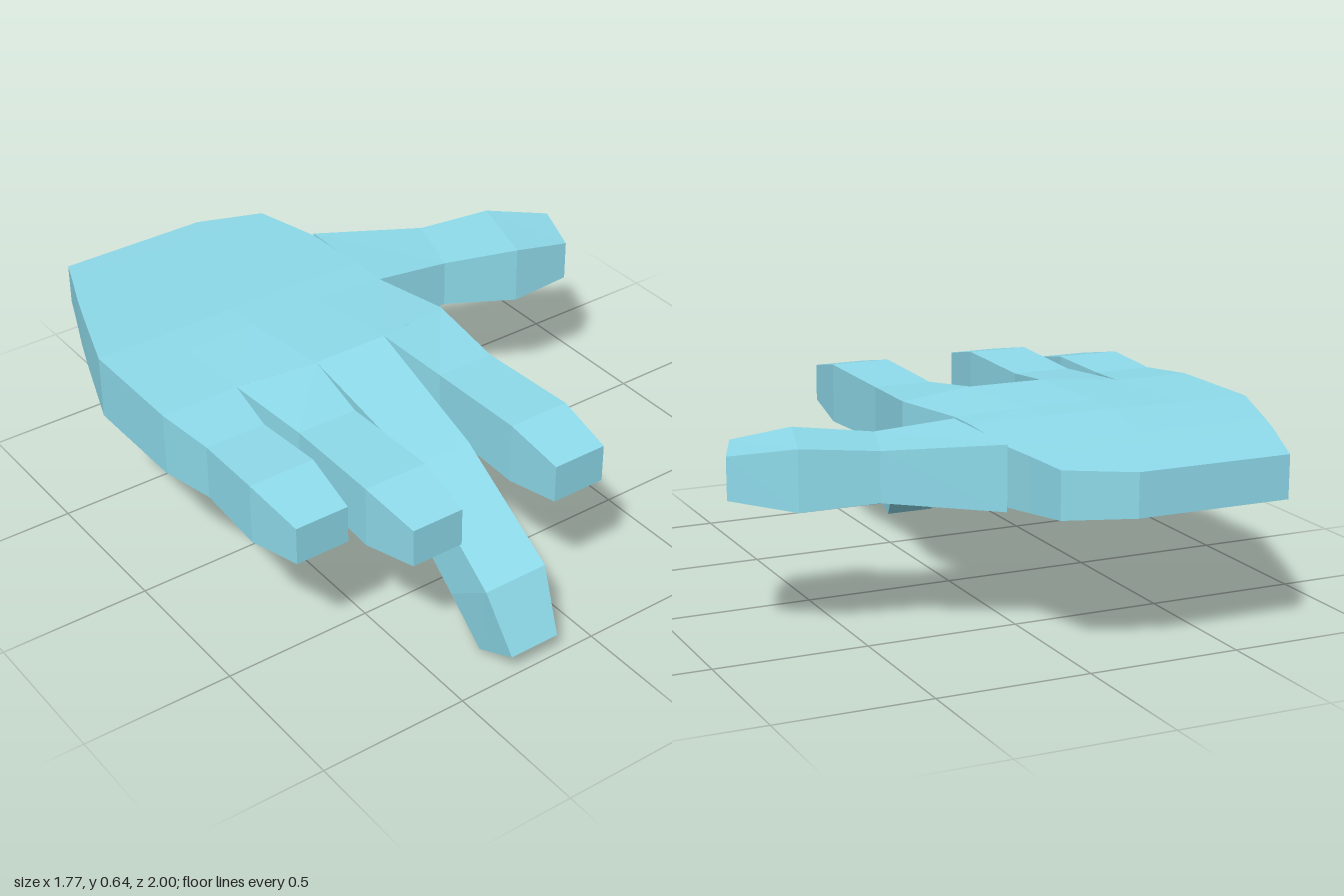
import * as THREE from 'three';

// Skin a list of equal-length rings (each counter-clockwise seen from the tip) and cap both ends.
function loft(rings) {
  const pos = [];
  const tri = (a, b, c) => pos.push(...a, ...b, ...c);
  const n = rings[0].length;
  for (let r = 0; r < rings.length - 1; r++) {
    const s = rings[r], t = rings[r + 1];
    for (let i = 0; i < n; i++) {
      const j = (i + 1) % n;
      tri(s[i], s[j], t[j]);
      tri(s[i], t[j], t[i]);
    }
  }
  const first = rings[0], last = rings[rings.length - 1];
  for (let i = 0; i < n / 2 - 1; i++) {
    const k = n - 1 - i;
    tri(last[i], last[i + 1], last[k - 1]);
    tri(last[i], last[k - 1], last[k]);
    tri(first[i], first[k - 1], first[i + 1]);
    tri(first[i], first[k], first[k - 1]);
  }
  const geo = new THREE.BufferGeometry();
  geo.setAttribute('position', new THREE.Float32BufferAttribute(pos, 3));
  geo.computeVertexNormals();
  return geo;
}

// Four-cornered ring from two plan points [x, z] and a bottom and top height.
const box = ([ax, az], [bx, bz], y0, y1) =>
  [[ax, y0, az], [bx, y0, bz], [bx, y1, bz], [ax, y1, az]];

export function createModel() {
  const group = new THREE.Group();
  const skin = new THREE.MeshStandardMaterial({ color: 0x8fdcec, flatShading: true });
  const add = (name, rings) => {
    const mesh = new THREE.Mesh(loft(rings), skin);
    mesh.name = name;
    group.add(mesh);
  };

  // Palm: rows from wrist to knuckles as z, x0, x1, y0, y1, crown
  const bulge = [0, 0, 1, 1, 0];
  const palmRows = [
    [-1.0, -0.665, -0.15, 0.455, 0.595, 0],
    [-0.91, -0.7, 0.06, 0.45, 0.602, 0],
    [-0.76, -0.76, 0.085, 0.438, 0.612, 0],
    [-0.65, -0.8, 0.105, 0.43, 0.618, 0],
    [-0.39, -0.89, 0.105, 0.413, 0.63, 0.004],
    [-0.27, -0.89, 0.105, 0.413, 0.63, 0.006],
    [0, -0.89, 0.165, 0.415, 0.63, 0.015],
  ];
  add('palm', palmRows.map(([z, x0, x1, y0, y1, crown]) => {
    const zAt = (i) => z + (z === 0 ? 0.05 * bulge[i] : 0);
    const xAt = (i) => x0 + (x1 - x0) * i / 4;
    const cols = [0, 1, 2, 3, 4];
    const bottom = cols.map((i) => [xAt(i), y0, zAt(i)]);
    const top = cols.map((i) => [xAt(i), y1 + crown * bulge[i], zAt(i)]);
    return [...bottom, ...top.reverse()];
  }));

  // Straight fingers: base corners, then waist, knuckle and tip as z, x0, x1
  const heights = [[0.43, 0.615], [0.42, 0.625], [0.458, 0.585]];
  const straight = (name, base, sections) => add(name, [
    base,
    ...sections.map(([z, x0, x1], i) => box([x0, z], [x1, z], ...heights[i])),
  ]);
  const ringBase = box([-0.625, 0], [-0.36, 0.05], 0.415, 0.63);
  ringBase[2][1] = 0.645;
  const indexBase = box([-0.1, 0.05], [0.165, 0], 0.415, 0.63);
  indexBase[3][1] = 0.645;
  straight('littleFinger', box([-0.89, 0], [-0.625, 0], 0.415, 0.63),
    [[0.2, -0.86, -0.655], [0.45, -0.868, -0.645], [0.655, -0.845, -0.665]]);
  straight('ringFinger', ringBase,
    [[0.3, -0.595, -0.39], [0.66, -0.605, -0.39], [0.86, -0.58, -0.405]]);
  straight('indexFinger', indexBase,
    [[0.3, -0.065, 0.135], [0.66, -0.065, 0.145], [0.86, -0.055, 0.13]]);

  // Middle finger bends downward: x0, x1, bottom [y, z], top [y, z]
  add('middleFinger', [
    [-0.36, -0.1, [0.415, 0.05], [0.645, 0.05]],
    [-0.33, -0.125, [0.38, 0.42], [0.515, 0.53]],
    [-0.34, -0.115, [0.155, 0.73], [0.27, 0.9]],
    [-0.315, -0.14, [0, 0.845], [0.075, 1]],
  ].map(([x0, x1, b, t]) => [[x0, ...b], [x1, ...b], [x1, ...t], [x0, ...t]]));

  // Thumb reaches sideways from the palm edge
  add('thumb', [
    box([0.105, -0.27], [0.105, -0.65], 0.415, 0.625),
    box([0.37, -0.25], [0.45, -0.49], 0.443, 0.605),
    box([0.605, -0.15], [0.69, -0.43], 0.425, 0.622),
    box([0.8, -0.125], [0.88, -0.325], 0.458, 0.595),
  ]);
  return group;
}
